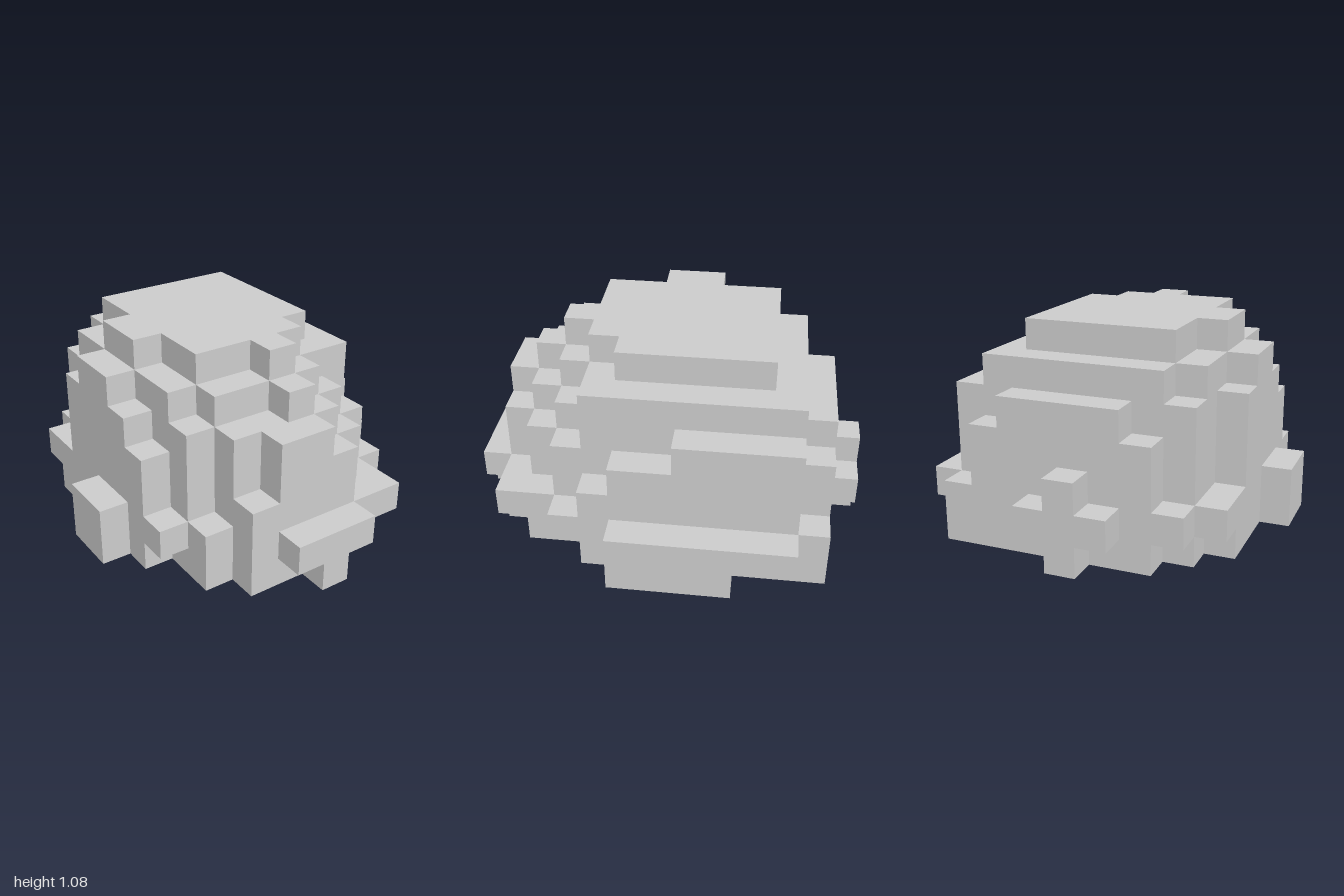
import * as THREE from 'three';
import { mergeGeometries } from 'three/addons/utils/BufferGeometryUtils.js';

// Plan of the blocky boulder: rows run back to front, digits give the column
// height in cells, 'o' is a single block overhanging one cell above the ground.
const PLAN = [
  '....o3o....',
  '..o4555542.',
  '.o56666665o',
  '.267777765o',
  '.5677777652',
  '.6777777652',
  '26777777642',
  '25677777642',
  '.467777663.',
  '.o5667654o.',
  '..2556542..',
  '...35542o..',
  '....o2o....',
];
const CELL = 2 / PLAN.length;
const WIDTH = PLAN[0].length;
const HEIGHT = 7;

function filled(i, k, j) {
  const c = PLAN[j]?.[i] ?? '.';
  if (c === '.' || k < 0) return false;
  return c === 'o' ? k === 1 : k < Number(c);
}

// One cell side per direction, already turned outward
function cellSides() {
  const q = Math.PI / 2;
  return [
    [0, 0, 1, 0, 0], [0, 0, -1, 0, 2 * q],
    [1, 0, 0, 0, q], [-1, 0, 0, 0, -q],
    [0, 1, 0, -q, 0], [0, -1, 0, q, 0],
  ].map(([x, y, z, rx, ry]) => ({
    x, y, z,
    face: new THREE.PlaneGeometry(CELL, CELL)
      .rotateX(rx).rotateY(ry)
      .translate(x * CELL / 2, y * CELL / 2, z * CELL / 2),
  }));
}

// Outer skin of the blocks: only sides with no neighbour are kept
function blockGeometry() {
  const sides = cellSides();
  const faces = [];
  for (let j = 0; j < PLAN.length; j++) {
    for (let i = 0; i < WIDTH; i++) {
      for (let k = 0; k < HEIGHT; k++) {
        if (!filled(i, k, j)) continue;
        for (const { x, y, z, face } of sides) {
          if (filled(i + x, k + y, j + z)) continue;
          faces.push(face.clone().translate(
            (i + 0.5 - WIDTH / 2) * CELL,
            (k + 0.5) * CELL,
            (j + 0.5 - PLAN.length / 2) * CELL,
          ));
        }
      }
    }
  }
  return mergeGeometries(faces);
}

export function createModel() {
  const group = new THREE.Group();
  group.name = 'blockBoulder';
  const boulder = new THREE.Mesh(
    blockGeometry(),
    new THREE.MeshStandardMaterial({ color: 0xcccccc, flatShading: true }),
  );
  boulder.name = 'boulder';
  group.add(boulder);
  return group;
}
